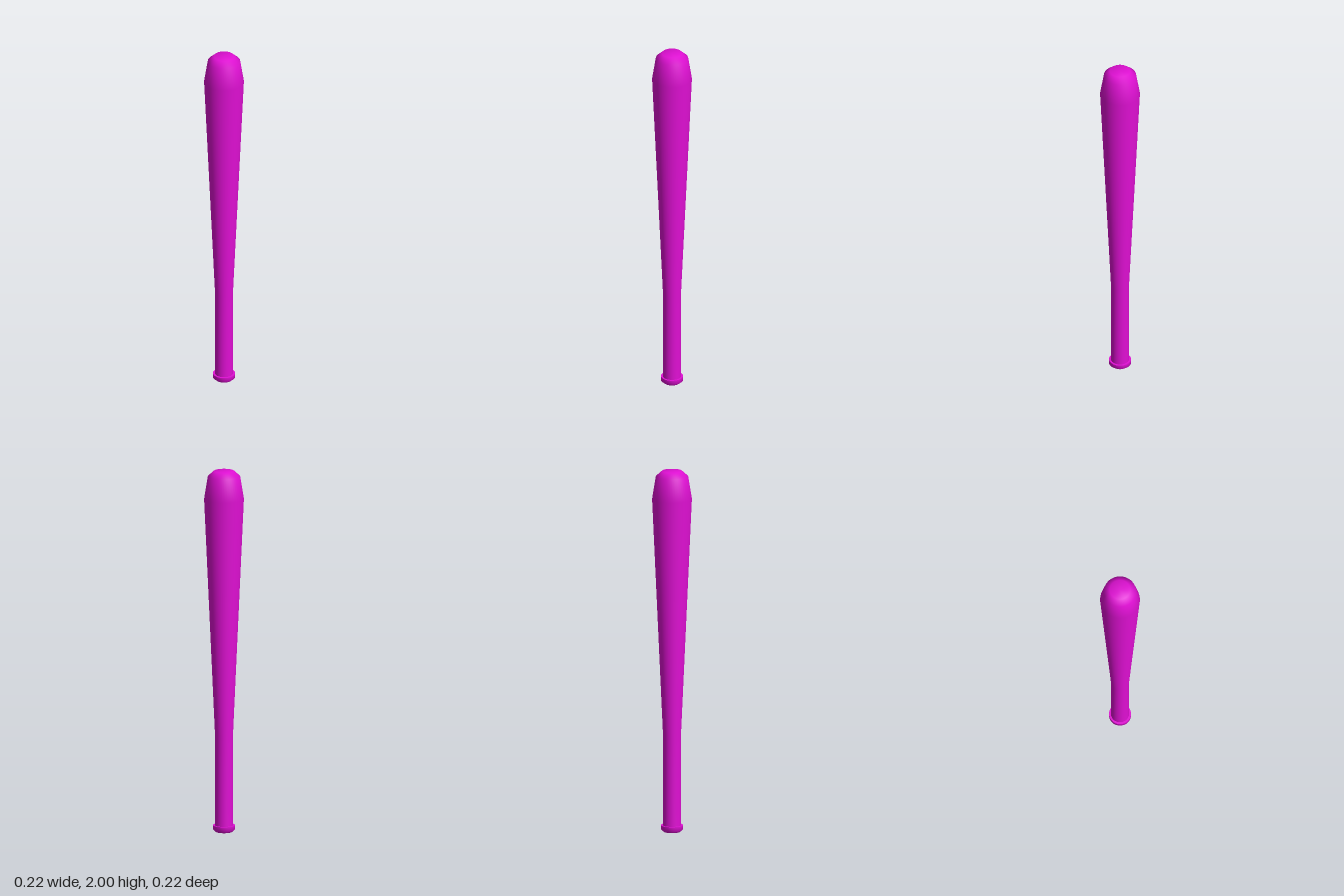
import * as THREE from 'three';

const SIDES = 48;

export function createModel() {
  const bat = new THREE.Group();
  bat.name = 'bat';
  const material = new THREE.MeshStandardMaterial({ color: 0xe010d4 });

  // Turns a [radius, height] profile, listed from bottom to top, around y
  const turn = (name, profile) => {
    const points = profile.map(([r, y]) => new THREE.Vector2(r, y));
    const mesh = new THREE.Mesh(new THREE.LatheGeometry(points, SIDES), material);
    mesh.name = name;
    bat.add(mesh);
  };

  // Knob: flat foot, bevelled lower edge, short rim and top ledge
  turn('knobBase', [[0, 0], [0.045, 0]]);
  turn('knobRim', [[0.045, 0], [0.06, 0.013], [0.06, 0.036]]);
  turn('knobLedge', [[0.06, 0.036], [0.049, 0.036]]);

  // Straight grip flowing into the tapered barrel and its rounded end
  turn('gripAndBarrel', [
    [0.049, 0.036], [0.049, 0.54], [0.108, 1.845],
    [0.088, 1.97], [0.055, 2], [0, 2],
  ]);

  return bat;
}
